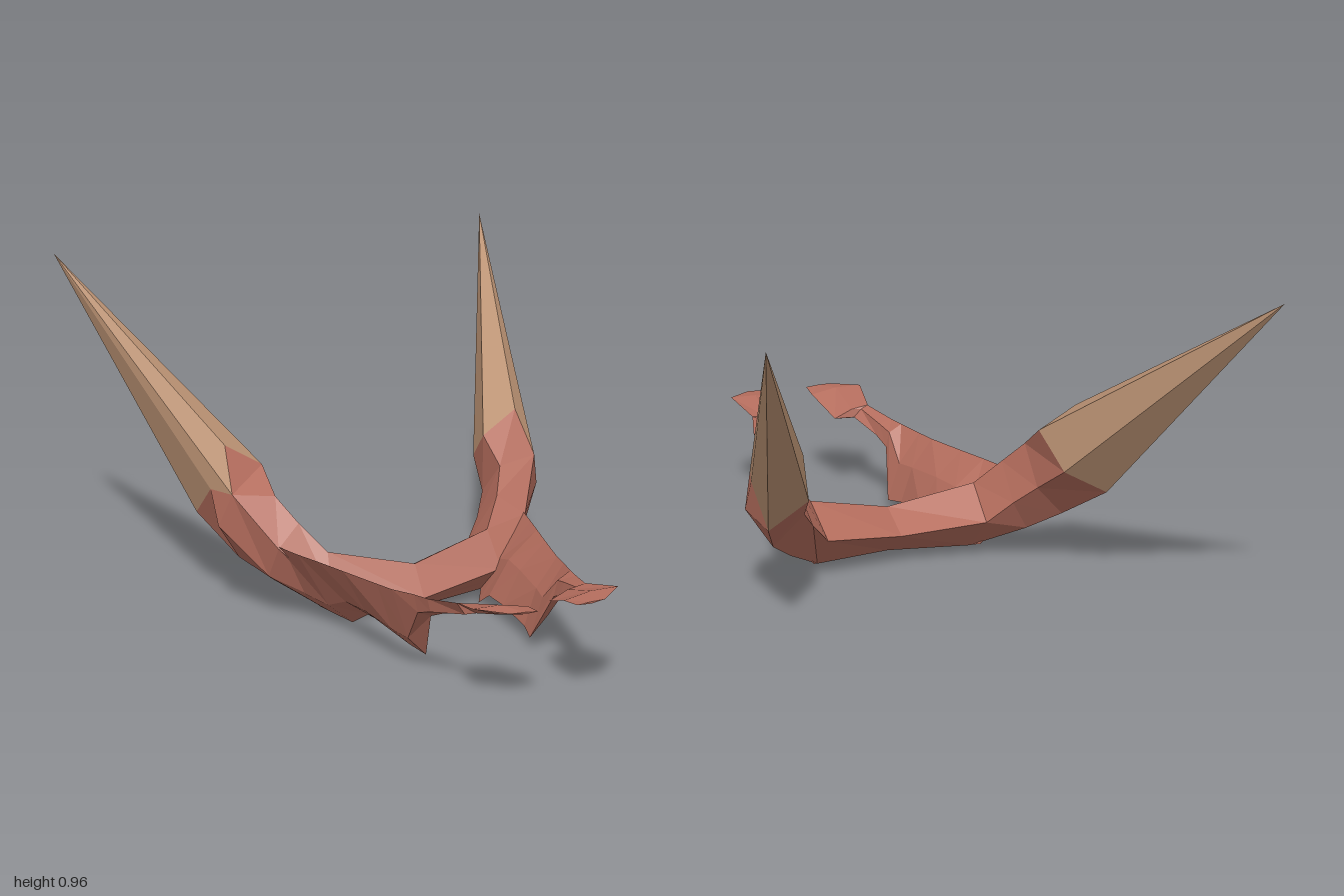
import * as THREE from 'three';

// Skin a list of equal-length rings of points with flat quads; flip reverses the facing
function loft(rings, flip, caps) {
  const pos = [];
  const tri = (a, b, c) => {
    const [p, q, r] = (flip ? [a, c, b] : [a, b, c]).map(v => new THREE.Vector3(...v));
    const area = q.clone().sub(p).cross(r.clone().sub(p)).length();
    if (area > 1e-8) for (const v of [p, q, r]) pos.push(v.x, v.y, v.z);
  };
  const n = rings[0].length;
  for (let i = 0; i < rings.length - 1; i++) {
    for (let j = 0; j < n; j++) {
      const k = (j + 1) % n;
      const a = rings[i][j], b = rings[i][k], c = rings[i + 1][k], d = rings[i + 1][j];
      tri(a, b, c);
      tri(a, c, d);
    }
  }
  if (caps) {
    const s = rings[0], e = rings[rings.length - 1];
    for (let j = 1; j < n - 1; j++) {
      tri(s[0], s[j + 1], s[j]);
      tri(e[0], e[j], e[j + 1]);
    }
  }
  const g = new THREE.BufferGeometry();
  g.setAttribute('position', new THREE.Float32BufferAttribute(pos, 3));
  g.computeVertexNormals();
  return g;
}

const mirrorRing = ring => ring.map(([x, y, z]) => [-x, y, z]);
const mix = (a, b, t) => a.map((v, i) => v + (b[i] - v) * t);

export function createModel() {
  const group = new THREE.Group();
  const leather = new THREE.MeshStandardMaterial({ color: 0xb46d5d, flatShading: true });
  leather.name = 'reddish leather';
  const horn = new THREE.MeshStandardMaterial({ color: 0xbd9475, flatShading: true });
  horn.name = 'tan horn';

  const add = (name, geometry, material) => {
    const mesh = new THREE.Mesh(geometry, material);
    mesh.name = name;
    group.add(mesh);
  };

  // Curved band: each ring runs top, front (doubled), outer, bottom, back
  const ring = (top, front, bottom, back, outer = mix(front, bottom, 0.6)) =>
    [top, front, front, outer, bottom, back];
  const hornBase = [
    [0.372, 0.44, -0.2], [0.487, 0.51, -0.21], [0.505, 0.385, -0.11],
    [0.535, 0.38, -0.21], [0.53, 0.27, -0.345], [0.4, 0.34, -0.325],
  ];
  const half = [
    ring([0, 0.16, 0.09], [0, 0.07, 0.155], [0, 0.02, 0.09], [0, 0.1, -0.03]),
    ring([0.265, 0.22, 0.045], [0.28, 0.11, 0.11], [0.25, 0.025, 0.03], [0.255, 0.13, -0.083]),
    ring([0.33, 0.3, -0.02], [0.41, 0.24, 0.015], [0.38, 0.105, -0.1], [0.32, 0.2, -0.135],
      [0.42, 0.14, -0.04]),
    ring([0.375, 0.37, -0.09], [0.505, 0.385, -0.11], [0.46, 0.165, -0.18], [0.37, 0.26, -0.2],
      [0.535, 0.28, -0.15]),
    hornBase,
  ];
  add('band', loft([...half.slice(1).map(mirrorRing).reverse(), ...half], false, false), leather);

  // Slanted side straps: [z, upper outer x, y, lower inner x, y], ending in a small flat plate
  const strapRows = [
    [0, 0.41, 0.245, 0.27, 0.035],
    [0.1, 0.385, 0.245, 0.21, 0.008],
    [0.19, 0.36, 0.247, 0.2, 0.06],
    [0.3, 0.33, 0.248, 0.192, 0.065],
    [0.45, 0.29, 0.25, 0.185, 0.05],
    [0.52, 0.275, 0.253, 0.167, 0.04],
    [0.61, 0.248, 0.262, 0.195, 0.19],
    [0.67, 0.235, 0.266, 0.185, 0.215],
    [0.785, 0.2, 0.285, 0.15, 0.25],
    [0.79, 0.2, 0.286, 0.085, 0.25],
    [0.93, 0.225, 0.317, 0.055, 0.3],
    [1, 0.145, 0.313, 0.06, 0.308],
  ];
  const strap = strapRows.map(([z, ox, oy, ix, iy]) => {
    const o = [ox, oy, z], b = [ix, iy, z];
    const plate = z > 0.7;
    const out = mix(o, b, plate ? 0.5 : 0.7);
    const inn = mix(o, b, 0.5);
    const t = z === 1 ? 0.004 : 0.02;
    out[0] += plate ? 0 : 0.025;
    out[1] -= plate ? t : 0.005;
    inn[0] -= plate ? 0 : 0.015;
    inn[1] += plate ? t * 0.4 : 0.012;
    return [o, out, b, inn];
  });

  // Horns taper from the band ends to a point
  const hornRings = [hornBase, hornBase.map(() => [0.747, 0.965, -0.99])];
  for (const [side, m] of [['left', false], ['right', true]]) {
    const place = rings => (m ? rings.map(mirrorRing) : rings);
    add(side + 'Strap', loft(place(strap), !m, true), leather);
    add(side + 'Horn', loft(place(hornRings), m, false), horn);
  }
  return group;
}
